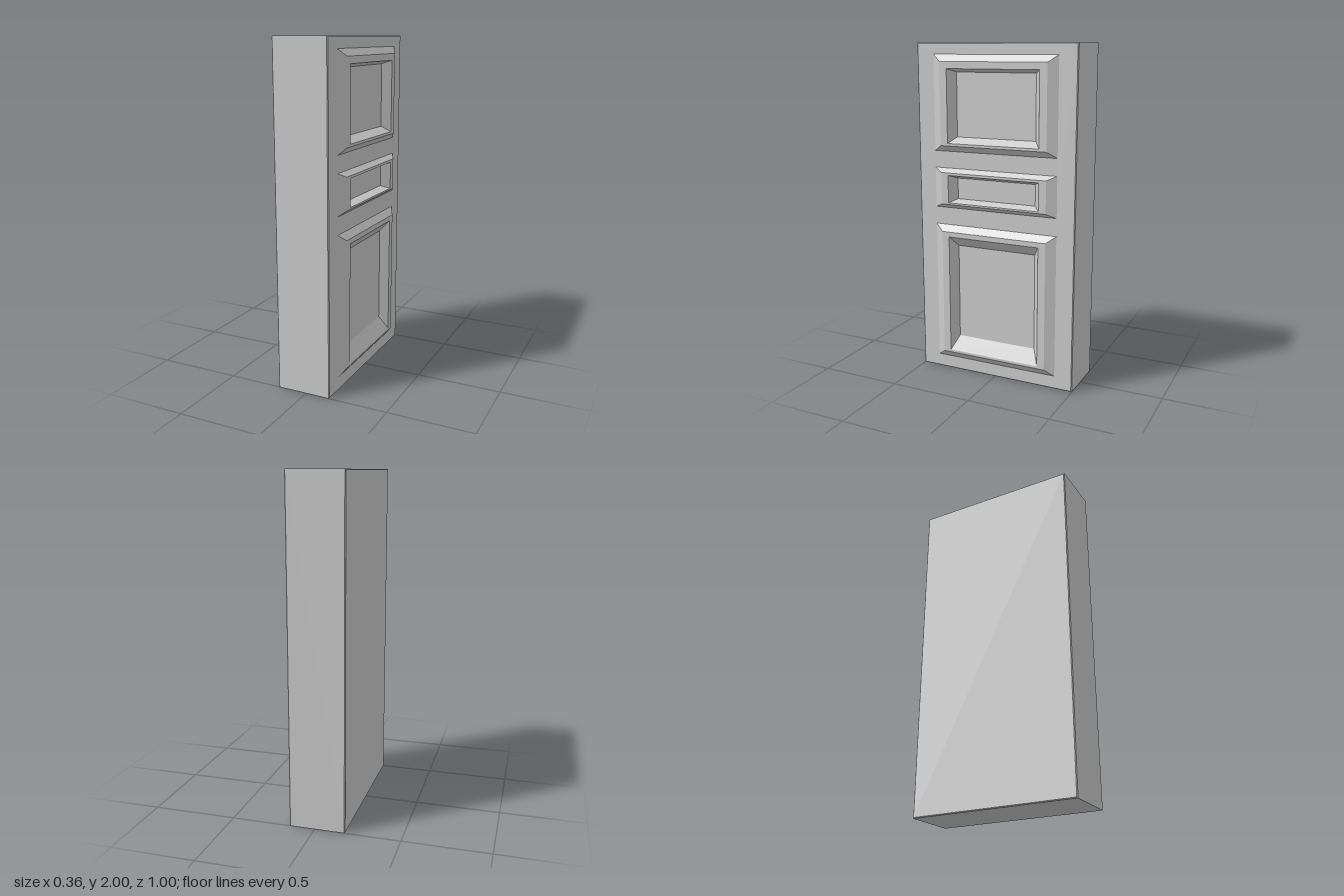
import * as THREE from 'three';

const FACE = 0.15; // x of the panelled side
const material = new THREE.MeshStandardMaterial({ color: 0xcccccc, flatShading: true });

// Faceted surface through rectangular rings [x, y0, y1, halfZ], running outward along +x
function loft(rings, capStart, capEnd) {
  const corners = rings.map(([x, y0, y1, h]) => [[x, y0, h], [x, y0, -h], [x, y1, -h], [x, y1, h]]);
  const pos = [];
  const quad = (a, b, c, d) => pos.push(...a, ...b, ...c, ...a, ...c, ...d);
  for (let r = 0; r < corners.length - 1; r++) {
    const a = corners[r], b = corners[r + 1];
    for (let i = 0; i < 4; i++) {
      const j = (i + 1) % 4;
      quad(a[i], a[j], b[j], b[i]);
    }
  }
  if (capStart) quad(...[...corners[0]].reverse());
  if (capEnd) quad(...corners[corners.length - 1]);
  const geometry = new THREE.BufferGeometry();
  geometry.setAttribute('position', new THREE.Float32BufferAttribute(pos, 3));
  geometry.computeVertexNormals();
  return geometry;
}

function rectangle(target, y0, y1, h) {
  return target.moveTo(-h, y0).lineTo(h, y0).lineTo(h, y1).lineTo(-h, y1).closePath();
}

export function createModel() {
  const group = new THREE.Group();
  const add = (name, geometry) => {
    const mesh = new THREE.Mesh(geometry, material);
    mesh.name = name;
    group.add(mesh);
  };

  // Slab with finely bevelled edges, open on the panelled side
  const b = 0.005;
  add('slab', loft([
    [-0.18, b, 2 - b, 0.5 - b],
    [-0.18 + b, 0, 2, 0.5],
    [FACE - b, 0, 2, 0.5],
    [FACE, b, 2 - b, 0.5 - b],
  ], true, false));

  // Each panel: [bottom, top] of outer edge, ridge, inner ridge edge and sunken floor
  const panels = {
    upperPanel: [[1.375, 1.935], [1.41, 1.895], [1.425, 1.855], [1.46, 1.835]],
    middlePanel: [[1.035, 1.275], [1.06, 1.25], [1.07, 1.235], [1.09, 1.215]],
    lowerPanel: [[0.08, 0.93], [0.12, 0.89], [0.135, 0.86], [0.22, 0.80]],
  };
  const depths = [FACE, 0.18, 0.18, 0.13];
  const halfWidths = [0.39, 0.335, 0.29, 0.25];

  // Face plate with an opening for every panel
  const face = rectangle(new THREE.Shape(), b, 2 - b, 0.5 - b);
  for (const [name, levels] of Object.entries(panels)) {
    face.holes.push(rectangle(new THREE.Path(), ...levels[0], halfWidths[0]));
    add(name, loft(levels.map(([y0, y1], i) => [depths[i], y0, y1, halfWidths[i]]), false, true));
  }
  add('panelledFace', new THREE.ShapeGeometry(face).rotateY(Math.PI / 2).translate(FACE, 0, 0));

  return group;
}
